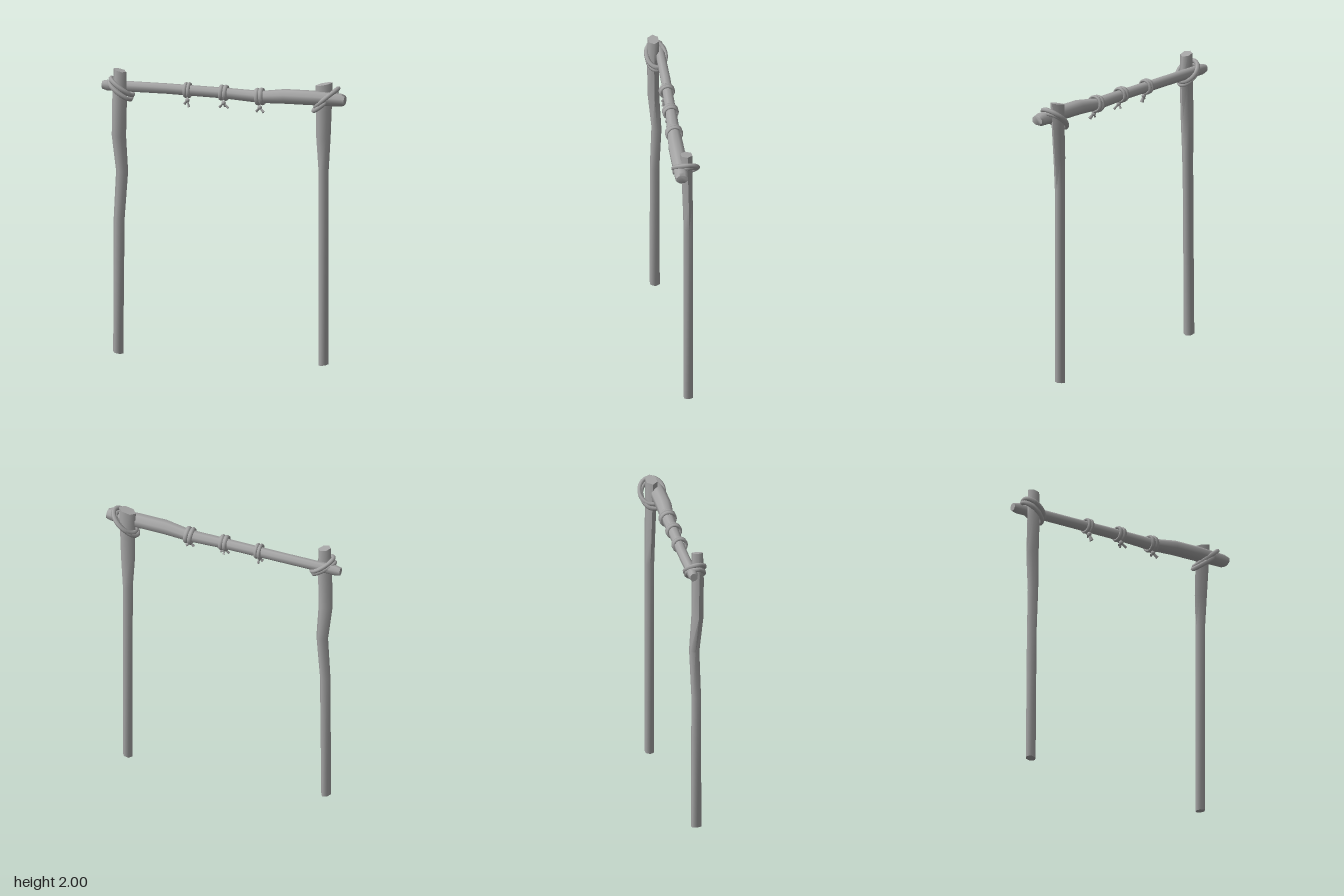
import * as THREE from 'three';
import { toCreasedNormals } from 'three/addons/utils/BufferGeometryUtils.js';

const grey = new THREE.MeshStandardMaterial({ color: 0xa6a6a6 });
grey.name = 'grey wood';

// Rough pole through sections [along, cu, cv, ru, rv, slant]; u x v = axis
function loft(sections, sides, place, turn = 0) {
  const pos = [], idx = [], n = sections.length;
  for (const [s, cu, cv, ru, rv, slant = 0] of sections) {
    for (let j = 0; j < sides; j++) {
      const a = turn + (j / sides) * Math.PI * 2;
      const v = Math.sin(a);
      pos.push(...place(s + v * slant, cu + Math.cos(a) * ru, cv + v * rv));
    }
  }
  for (let i = 0; i < n - 1; i++) {
    for (let j = 0; j < sides; j++) {
      const k = (j + 1) % sides, a = i * sides, b = a + sides;
      idx.push(a + j, a + k, b + k, a + j, b + k, b + j);
    }
  }
  const e = (n - 1) * sides;
  for (let j = 1; j < sides - 1; j++) idx.push(0, j + 1, j, e, e + j, e + j + 1);
  const g = new THREE.BufferGeometry();
  g.setAttribute('position', new THREE.Float32BufferAttribute(pos, 3));
  g.setIndex(idx);
  return toCreasedNormals(g, 1.2);
}
const upright = (s, u, v) => [v, s, u];
const sideways = (s, u, v) => [s, u, v];

export function createModel() {
  const model = new THREE.Group();
  const add = (name, geo, parent = model) => {
    const m = new THREE.Mesh(geo, grey);
    m.name = name;
    parent.add(m);
    return m;
  };

  // Posts: [y, z, x, half depth, half width, slant]
  add('rightPost', loft([
    [0.01, -0.022, -0.735, 0.037, 0.035, -0.006],
    [0.95, -0.02, -0.728, 0.034, 0.038],
    [1.28, -0.03, -0.71, 0.036, 0.042],
    [1.53, -0.012, -0.728, 0.042, 0.05],
    [1.8, -0.008, -0.722, 0.042, 0.051],
    [1.99, -0.01, -0.72, 0.04, 0.044, -0.01],
  ], 6, upright, Math.PI / 6));
  add('leftPost', loft([
    [0.01, -0.024, 0.69, 0.034, 0.035, 0.006],
    [1.38, -0.024, 0.69, 0.034, 0.036],
    [1.6, -0.02, 0.69, 0.036, 0.05],
    [1.8, -0.014, 0.695, 0.039, 0.054],
    [1.98, -0.01, 0.697, 0.043, 0.06, 0.014],
  ], 6, upright, Math.PI / 6));

  // Crossbar: [x, y, z, half height, half depth]
  add('crossbar', loft([
    [-0.855, 1.866, -0.065, 0.028, 0.026],
    [-0.82, 1.866, -0.062, 0.037, 0.032],
    [-0.4, 1.872, -0.043, 0.036, 0.034],
    [0.0, 1.873, -0.015, 0.037, 0.038],
    [0.26, 1.867, 0.005, 0.041, 0.045],
    [0.43, 1.885, 0.02, 0.05, 0.054],
    [0.62, 1.889, 0.029, 0.05, 0.054],
    [0.83, 1.888, 0.042, 0.044, 0.047],
    [0.855, 1.888, 0.043, 0.033, 0.044],
  ], 8, sideways, Math.PI / 8));

  // Diagonal double lashings at the joints
  const lashing = (name, c, dx, dy, dz) => {
    const group = new THREE.Group();
    group.name = name;
    for (const k of [-1, 1]) {
      const pts = [];
      for (let i = 0; i < 12; i++) {
        const t = (i / 12) * Math.PI * 2, co = Math.cos(t), si = Math.sin(t);
        pts.push(new THREE.Vector3(
          c[0] + dx * co + k * 0.006,
          c[1] + dy * co + k * (0.014 + 0.006 * si),
          c[2] + dz * si * (1 + 0.06 * k)));
      }
      const path = new THREE.CatmullRomCurve3(pts, true);
      add('lashingStrand', new THREE.TubeGeometry(path, 32, 0.016, 6, true), group);
    }
    model.add(group);
  };
  lashing('rightLashing', [-0.717, 1.858, -0.027], 0.075, -0.055, 0.062);
  lashing('leftLashing', [0.712, 1.875, -0.002], 0.078, 0.067, 0.078);

  // Ties round the crossbar, each with a knot and loose ends
  const tie = (x, y, z, r, width, tilt, ends) => {
    const group = new THREE.Group();
    group.name = 'tie';
    group.position.set(x, y, z);
    const bands = new THREE.Group();
    bands.name = 'bands';
    bands.rotation.z = tilt;
    group.add(bands);
    for (const k of [-1, 1]) {
      const g = new THREE.TorusGeometry(r, 0.011, 6, 18);
      g.scale(1, 1, width / 0.044);
      g.rotateY(Math.PI / 2);
      add('band', g, bands).position.x = k * width / 4.5;
    }
    const knotY = -r - 0.022;
    const knot = add('knot', new THREE.SphereGeometry(0.016, 8, 6), group);
    knot.position.set(0.003, knotY, 0.018);
    for (const [ex, ey, ez, w] of ends) {
      const dir = new THREE.Vector3(ex, ey, ez), len = dir.length();
      const g = new THREE.CylinderGeometry(w, 0.007, len, 6);
      g.scale(1, 1, 0.6);
      g.translate(0, len / 2, 0);
      const end = add('looseEnd', g, group);
      end.position.copy(knot.position);
      end.quaternion.setFromUnitVectors(new THREE.Vector3(0, 1, 0), dir.normalize());
    }
    model.add(group);
  };
  tie(-0.255, 1.874, -0.028, 0.044, 0.052, 0, [[0.012, -0.046, 0.008, 0.015], [-0.02, -0.026, 0.01, 0.012]]);
  tie(0, 1.876, -0.012, 0.045, 0.064, 0, [[0.036, -0.032, 0.012, 0.009], [-0.028, -0.03, 0.01, 0.009], [0.004, -0.03, -0.02, 0.008]]);
  tie(0.255, 1.869, 0.004, 0.05, 0.066, 0.12, [[0.03, -0.03, 0.01, 0.013], [-0.024, -0.028, 0.008, 0.011]]);

  return model;
}
